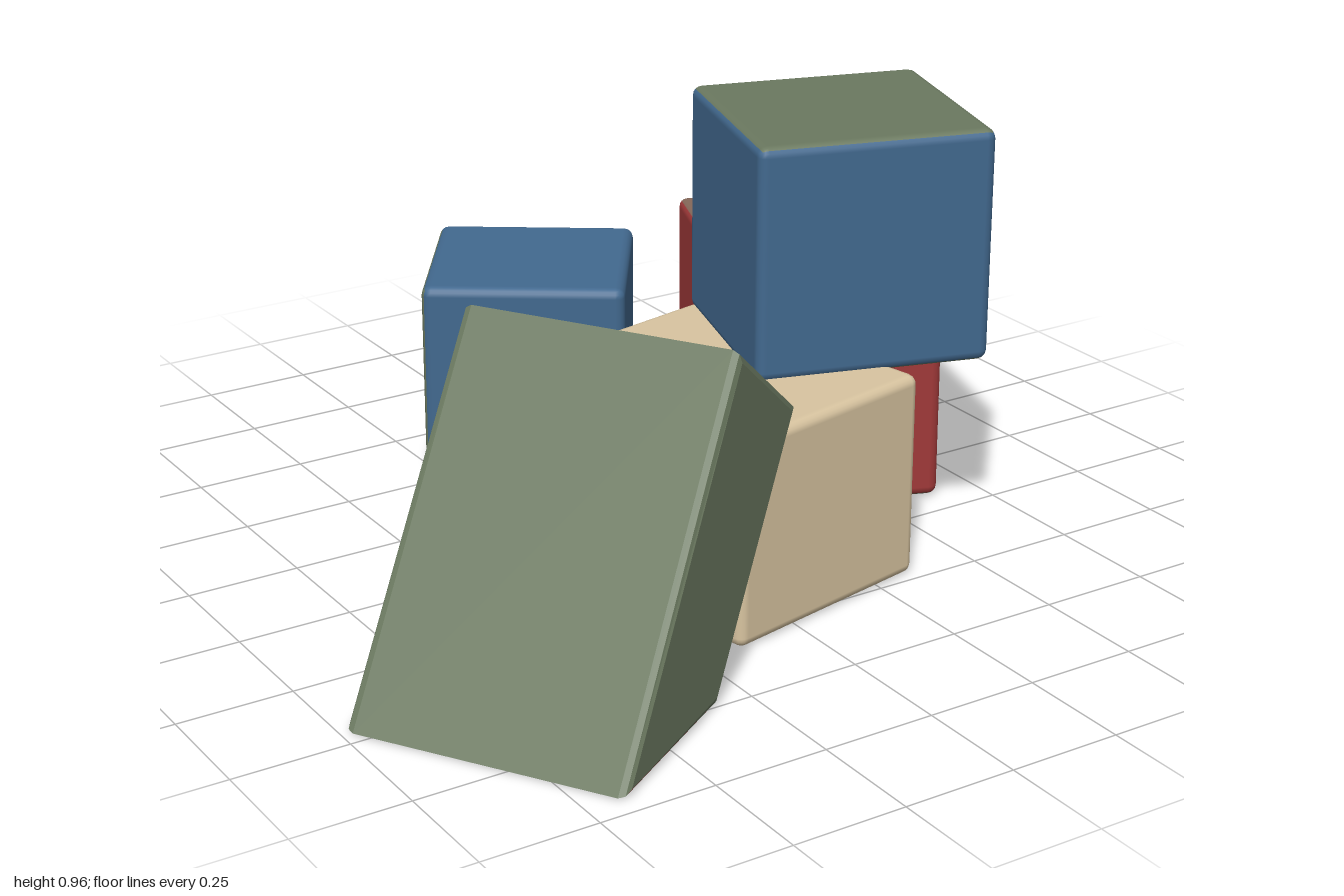
import * as THREE from 'three';
import { RoundedBoxGeometry } from 'three/addons/geometries/RoundedBoxGeometry.js';

const paint = (name, color) => {
  const m = new THREE.MeshStandardMaterial({ color });
  m.name = name;
  return m;
};

export function createModel() {
  const blue = paint('blue', 0x42698f);
  const green = paint('sage green', 0x6b7960);
  const cream = paint('cream', 0xd8c4a0);
  const red = paint('red', 0xa03939);
  const brown = paint('brown', 0x866859);

  const group = new THREE.Group();
  group.name = 'toyBlocks';

  // Rounded block standing at height y; faces are ordered +x, -x, +y, -y, +z, -z
  function block(name, [w, h, d], [x, y, z], turn, faces) {
    const mesh = new THREE.Mesh(new RoundedBoxGeometry(w, h, d, 2, 0.022), faces);
    mesh.name = name;
    mesh.position.set(x, y + h / 2, z);
    mesh.rotation.y = turn;
    group.add(mesh);
    return mesh;
  }

  block('creamBlock', [0.53, 0.455, 0.64], [0.03, 0, 0.215], 0.21, cream);
  block('stackedBlock', [0.515, 0.51, 0.495], [0.363, 0.446, 0.16], -0.29,
    [blue, blue, green, green, blue, blue]);
  block('backBlock', [0.465, 0.435, 0.455], [0.065, 0, -0.647], -0.6,
    [blue, green, blue, blue, blue, green]);
  const plank = block('redPlank', [0.405, 0.433, 0.955], [0.62, 0.002, -0.325], -0.37,
    [red, red, brown, green, red, red]);
  plank.rotation.x = -0.006;

  // Slab leaning on the cream block, its foot cut flat on the ground
  const profile = new THREE.Shape([[0, 0], [0.41, 0], [0.78, 0.49], [0.5, 0.705]]
    .map(([s, y]) => new THREE.Vector2(s, y)));
  const bevel = 0.018, width = 0.6;
  const slab = new THREE.ExtrudeGeometry(profile, {
    depth: width - 2 * bevel, bevelThickness: bevel, bevelSize: bevel,
    bevelOffset: -bevel, bevelSegments: 2,
  });
  slab.translate(0, 0, bevel);

  // Downward faces are red, all others green
  slab.clearGroups();
  const p = slab.attributes.position;
  const tri = new THREE.Triangle(), n = new THREE.Vector3();
  for (let i = 0; i < p.count; i += 3) {
    tri.setFromAttributeAndIndices(p, i, i + 1, i + 2);
    tri.getNormal(n);
    slab.addGroup(i, 3, n.y < -0.5 ? 1 : 0);
  }
  const leaning = new THREE.Mesh(slab, [green, red]);
  leaning.name = 'leaningSlab';
  leaning.position.set(-0.99, 0.002, 0.455);
  leaning.rotation.y = 0.56;
  group.add(leaning);

  return group;
}
